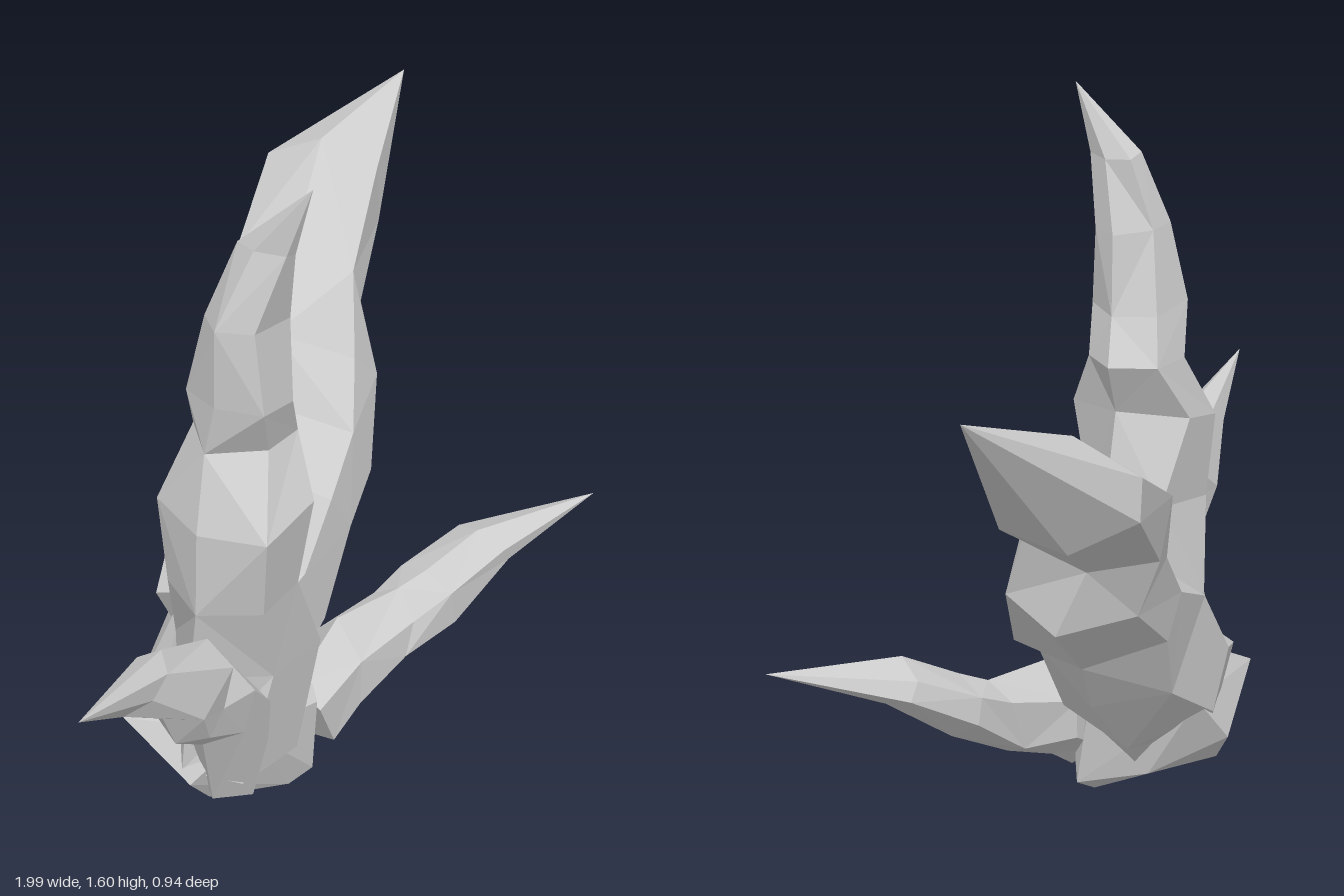
import * as THREE from 'three';
import { ConvexGeometry } from 'three/addons/geometries/ConvexGeometry.js';

const SIDES = 6;
const material = new THREE.MeshStandardMaterial({ color: 0xcccccc, flatShading: true });

// Faceted spike through cross-sections [x0, y0, x1, y1, zFront, zBack], ending in a point.
// The first two pairs are opposite edges of the section; shear slants it along x.
function spike(name, sections, tip, shear) {
  const rings = sections.map(([x0, y0, x1, y1, zf, zb], k) => {
    const ring = [];
    for (let i = 0; i < SIDES; i++) {
      // slide the side corners a little so the facets look hewn
      const slide = i % 3 ? 0.2 * Math.sin(k * 2.3 + i * 1.7) : 0;
      const a = (i / SIDES) * Math.PI * 2;
      const c = Math.cos(a) + slide;
      const dz = (Math.sin(a) / 0.866) * (zf - zb) / 2;
      ring.push(new THREE.Vector3(
        (x0 + x1) / 2 + c * (x0 - x1) / 2 + shear * dz,
        (y0 + y1) / 2 + c * (y0 - y1) / 2,
        (zf + zb) / 2 + dz));
    }
    return ring;
  });

  const pos = [];
  const tri = (...pts) => pts.forEach(p => pos.push(p.x, p.y, p.z));
  const end = new THREE.Vector3(...tip);
  const last = rings.length - 1;
  for (let i = 0; i < SIDES; i++) {
    const j = (i + 1) % SIDES;
    for (let k = 0; k < last; k++) {
      const a = rings[k], b = rings[k + 1];
      if ((i + k) % 2) { // alternate the diagonals
        tri(a[i], a[j], b[i]);
        tri(a[j], b[j], b[i]);
      } else {
        tri(a[i], a[j], b[j]);
        tri(a[i], b[j], b[i]);
      }
    }
    tri(rings[last][i], rings[last][j], end);
    if (i > 0 && j > 0) tri(rings[0][0], rings[0][j], rings[0][i]); // root cap
  }
  const geo = new THREE.BufferGeometry();
  geo.setAttribute('position', new THREE.Float32BufferAttribute(pos, 3));
  geo.computeVertexNormals();
  const mesh = new THREE.Mesh(geo, material);
  mesh.name = name;
  return mesh;
}

export function createModel() {
  const group = new THREE.Group();
  group.name = 'spikeCluster';

  // Rough root block the spikes grow from
  const rootPoints = [
    [-0.05, 0, 0.14], [-0.15, 0.03, 0.2], [0.05, 0.06, 0.12], [-0.1, 0.06, 0.23],
    [-0.34, 0.08, 0.12], [-0.42, 0.17, 0.13], [-0.4, 0.25, -0.07], [-0.24, 0.11, -0.05],
    [0.0, 0.25, -0.25], [-0.1, 0.14, -0.16], [0.06, 0.14, -0.08], [-0.22, 0.34, -0.07],
    [0.08, 0.36, -0.22], [0.05, 0.3, 0.08], [-0.33, 0.3, 0.22], [-0.1, 0.25, 0.24],
  ].map(p => new THREE.Vector3(...p));
  const root = new THREE.Mesh(new ConvexGeometry(rootPoints), material);
  root.name = 'root';
  group.add(root);

  // Tall upright spike
  group.add(spike('tallSpike', [
    [-0.41, 0.19, -0.09, 0.15, 0.23, -0.03],
    [-0.41, 0.45, -0.05, 0.44, 0.26, -0.01],
    [-0.43, 0.64, -0.13, 0.68, 0.28, 0.04],
    [-0.43, 0.84, -0.18, 0.88, 0.31, 0.02],
    [-0.375, 1.0, -0.12, 1.0, 0.24, 0.05],
    [-0.38, 1.12, -0.18, 1.1, 0.27, 0.08],
    [-0.39, 1.3, -0.2, 1.28, 0.25, 0.12],
    [-0.32, 1.46, -0.235, 1.44, 0.285, 0.17],
  ], [-0.27, 1.6, 0.33], 0));

  // Large spike, out to the model's left and back
  group.add(spike('largeSpike', [
    [-0.15, 0.46, 0.03, 0.13, 0.1, -0.17],
    [-0.05, 0.57, 0.12, 0.22, 0.1, -0.23],
    [0.07, 0.66, 0.27, 0.38, 0.09, -0.23],
    [0.24, 0.72, 0.36, 0.51, 0.05, -0.27],
    [0.3, 0.87, 0.54, 0.66, -0.03, -0.31],
    [0.46, 1.0, 0.53, 0.81, -0.1, -0.38],
    [0.71, 1.16, 0.73, 0.93, -0.2, -0.47],
  ], [0.99, 1.25, -0.29], 0.25));

  // Slim spike on the model's right
  group.add(spike('rightSpike', [
    [-0.36, 0.1, -0.22, 0.4, 0.24, 0.05],
    [-0.45, 0.33, -0.37, 0.51, 0.28, 0.1],
    [-0.61, 0.46, -0.49, 0.57, 0.31, 0.18],
    [-0.65, 0.55, -0.5, 0.66, 0.33, 0.16],
    [-0.8, 0.66, -0.68, 0.75, 0.31, 0.23],
  ], [-1, 0.8, 0.33], 0));

  // Low spike reaching forward
  group.add(spike('frontSpike', [
    [-0.1, 0.26, -0.01, 0.07, 0.25, 0.1],
    [0.06, 0.36, 0.06, 0.12, 0.26, 0.1],
    [0.24, 0.36, 0.17, 0.16, 0.29, 0.16],
    [0.3, 0.39, 0.33, 0.25, 0.34, 0.18],
    [0.42, 0.46, 0.48, 0.37, 0.39, 0.25],
  ], [0.69, 0.48, 0.47], -0.2));

  return group;
}
